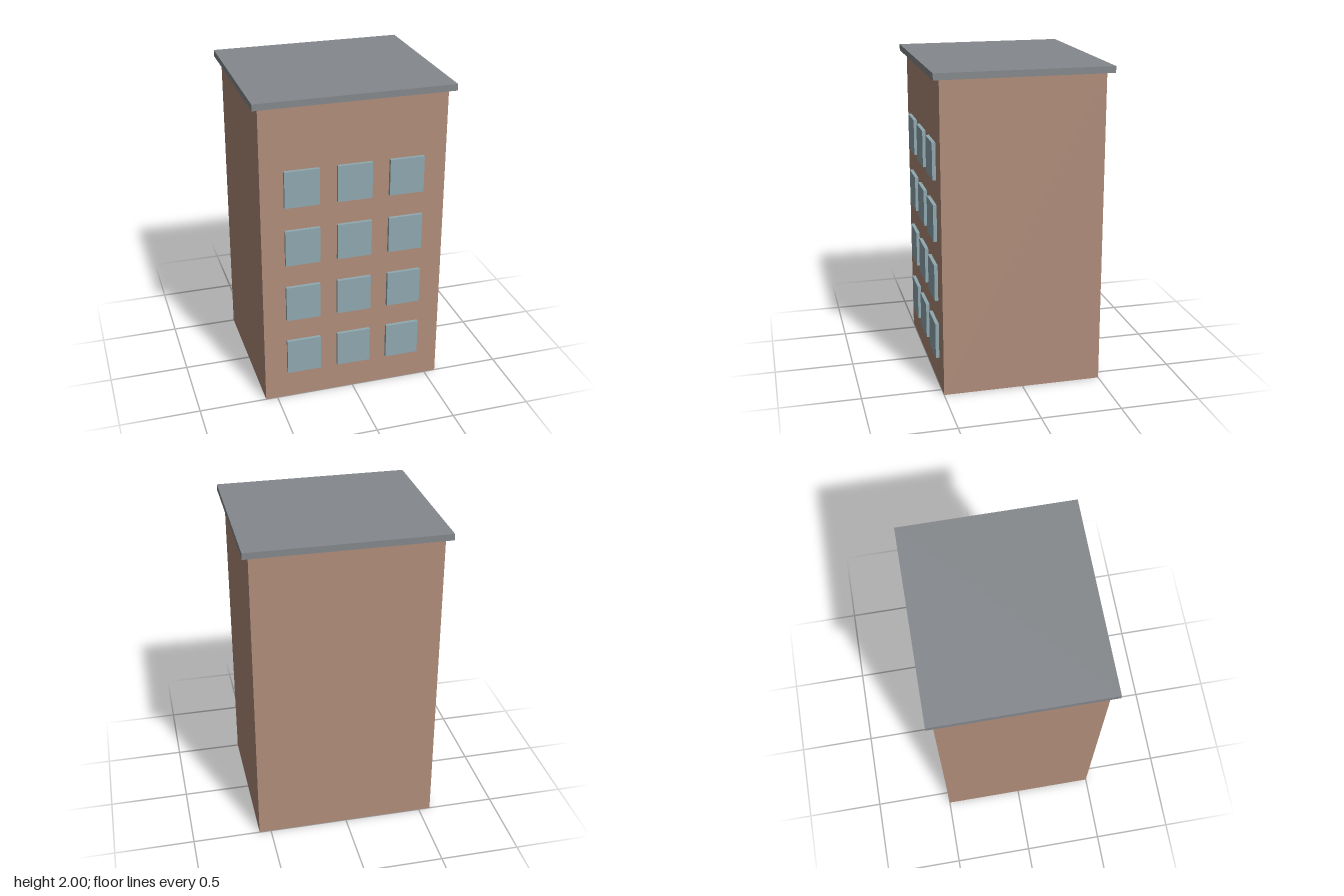
import * as THREE from 'three';

const WALL_HEIGHT = 1.96;
const DEPTH = 1.0;

function box(name, size, position, material) {
  const mesh = new THREE.Mesh(new THREE.BoxGeometry(...size), material);
  mesh.name = name;
  mesh.position.set(...position);
  return mesh;
}

export function createModel() {
  const brick = new THREE.MeshStandardMaterial({ color: 0xb08d7a });
  const slate = new THREE.MeshStandardMaterial({ color: 0x84888c });
  const glass = new THREE.MeshStandardMaterial({ color: 0x90a8b0 });

  const building = new THREE.Group();
  building.name = 'building';

  // Main block and overhanging flat roof
  building.add(box('walls', [1.15, WALL_HEIGHT, DEPTH], [0, WALL_HEIGHT / 2, 0], brick));
  building.add(box('roof', [1.226, 2 - WALL_HEIGHT, 1.08], [0, (2 + WALL_HEIGHT) / 2, 0], slate));

  // Four floors of three windows, standing slightly proud of the front wall
  const windows = new THREE.Group();
  windows.name = 'windows';
  for (let floor = 0; floor < 4; floor++) {
    for (let column = -1; column <= 1; column++) {
      windows.add(box('window', [0.215, 0.23, 0.04],
        [column * 0.325, 0.302 + floor * 0.382, DEPTH / 2 + 0.002], glass));
    }
  }
  building.add(windows);

  return building;
}
